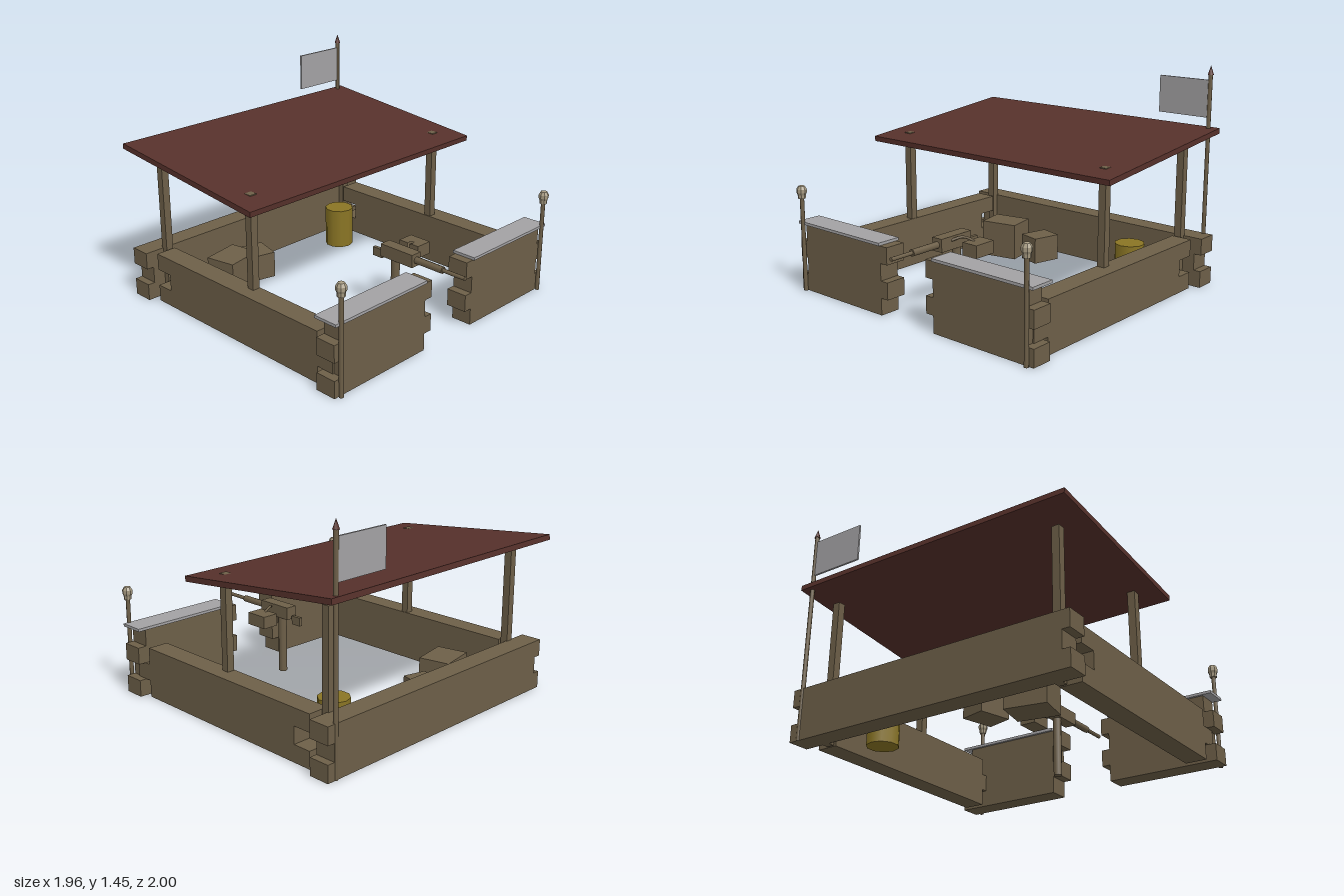
import * as THREE from 'three';

const mat = (name, color) => {
  const m = new THREE.MeshStandardMaterial({ color });
  m.name = name;
  return m;
};

export function createModel() {
  const model = new THREE.Group();
  model.name = 'outpost';
  const wood = mat('wood', 0x6d5f48);
  const red = mat('roofRed', 0x57312b);
  const grey = mat('paleGrey', 0xa3a2a4);
  const yellow = mat('barrelYellow', 0x8a7524);
  const bone = mat('bone', 0xa59980);

  const add = (name, geo, material, x = 0, y = 0, z = 0) => {
    const mesh = new THREE.Mesh(geo, material);
    mesh.name = name;
    mesh.position.set(x, y, z);
    model.add(mesh);
    return mesh;
  };
  // Box given by its minimum and maximum along each axis
  const box = (name, material, x0, x1, y0, y1, z0, z1) =>
    add(name, new THREE.BoxGeometry(x1 - x0, y1 - y0, z1 - z0), material,
      (x0 + x1) / 2, (y0 + y1) / 2, (z0 + z1) / 2);
  const rod = (name, material, r, y0, y1, x, z, sides = 8) =>
    add(name, new THREE.CylinderGeometry(r, r, y1 - y0, sides), material, x, (y0 + y1) / 2, z);

  // Wall whose ends step in and out with each course; centred in thickness
  const COURSE = 0.111;
  const toothedWall = (starts, ends, thickness) => {
    const shape = new THREE.Shape();
    const points = [];
    ends.forEach((e, i) => points.push([e, i * COURSE], [e, (i + 1) * COURSE]));
    for (let i = starts.length - 1; i >= 0; i--) {
      points.push([starts[i], (i + 1) * COURSE], [starts[i], i * COURSE]);
    }
    points.forEach(([x, y], i) => (i ? shape.lineTo(x, y) : shape.moveTo(x, y)));
    const geo = new THREE.ExtrudeGeometry(shape, { depth: thickness, bevelEnabled: false });
    return geo.translate(0, 0, -thickness / 2);
  };

  // Back wall
  const backEnds = [0.98, 0.93, 0.98];
  add('backWall', toothedWall(backEnds.map(e => -e), backEnds, 0.14), wood, 0, 0, -0.902);

  const finialProfile = [[0, 0.62], [0.024, 0.62], [0.026, 0.645], [0.033, 0.66],
    [0.033, 0.682], [0.021, 0.702], [0, 0.708]].map(([x, y]) => new THREE.Vector2(x, y));

  for (const s of [-1, 1]) {
    // Front wall half with its coping
    const inner = [0.222, 0.165, 0.222, 0.165];
    const outer = [0.98, 0.92, 0.98, 0.92];
    const geo = s > 0 ? toothedWall(inner, outer, 0.14)
      : toothedWall(outer.map(v => -v), inner.map(v => -v), 0.14);
    add('frontWall', geo, wood, 0, 0, 0.813);
    const [c0, c1] = s > 0 ? [0.222, 0.98] : [-0.98, -0.222];
    box('coping', grey, c0, c1, 0.446, 0.464, 0.73, 0.895);

    // Side wall, running front to back
    const side = add('sideWall', toothedWall([-0.78, -0.655, -0.78], [0.7, 0.82, 0.7], 0.14),
      wood, s * 0.86, 0, 0);
    side.rotation.y = -Math.PI / 2;

    // Roof posts
    box('frontRoofPost', wood, s * 0.82 - 0.025, s * 0.82 + 0.025, 0.3, 0.942, 0.015, 0.065);
    box('backRoofPost', wood, s * 0.82 - 0.025, s * 0.82 + 0.025, 0, 0.942, -0.842, -0.792);

    // Gate stakes with rounded tops
    rod('stake', wood, 0.014, 0, 0.63, s * 0.938, 0.895);
    const finialMat = bone;
    const finial = new THREE.LatheGeometry(finialProfile, 8).toNonIndexed();
    finial.computeVertexNormals();
    add('stakeTop', finial, finialMat, s * 0.938, 0, 0.895);
  }

  // Sloping roof
  const roof = box('roof', red, -0.98, 0.98, 0.948, 0.983, -1.002, 0.222);
  roof.rotation.x = 0.102;

  // Flag
  rod('flagPole', wood, 0.014, 0, 1.4, 0.915, -0.965);
  add('flagPoleTip', new THREE.ConeGeometry(0.02, 0.06, 8), red, 0.915, 1.42, -0.965);
  box('flag', grey, 0.54, 0.905, 1.11, 1.355, -0.971, -0.959);

  // Mounted gun
  rod('gunPost', wood, 0.028, 0, 0.4, 0, 0.45);
  box('gunBody', wood, -0.04, 0.04, 0.392, 0.477, 0.36, 0.62);
  box('gunGrip', wood, -0.012, 0.012, 0.362, 0.42, 0.268, 0.345);
  rod('gunSleeve', wood, 0.023, 0, 0.215, 0, 0).rotation.x = Math.PI / 2;
  model.children.at(-1).position.set(0, 0.434, 0.725);
  rod('gunBarrel', wood, 0.013, 0, 0.4, 0, 0).rotation.x = Math.PI / 2;
  model.children.at(-1).position.set(0, 0.434, 0.8);
  const belt = new THREE.CatmullRomCurve3([[0.035, 0.45, 0.53], [0.08, 0.47, 0.485],
    [0.115, 0.467, 0.468], [0.16, 0.45, 0.455]].map(p => new THREE.Vector3(...p)));
  add('feedBelt', new THREE.TubeGeometry(belt, 10, 0.009, 6), wood);
  box('ammoBox', wood, 0.125, 0.238, 0.373, 0.455, 0.37, 0.527);

  // Supplies in the yard
  rod('barrel', yellow, 0.1, 0, 0.28, 0.57, -0.61, 10);
  box('largeCrate', wood, -0.61, -0.35, 0, 0.25, -0.675, -0.465).rotation.y = 0.2;
  box('smallCrate', wood, -0.29, -0.13, 0, 0.18, -0.73, -0.53).rotation.y = -0.25;

  return model;
}
